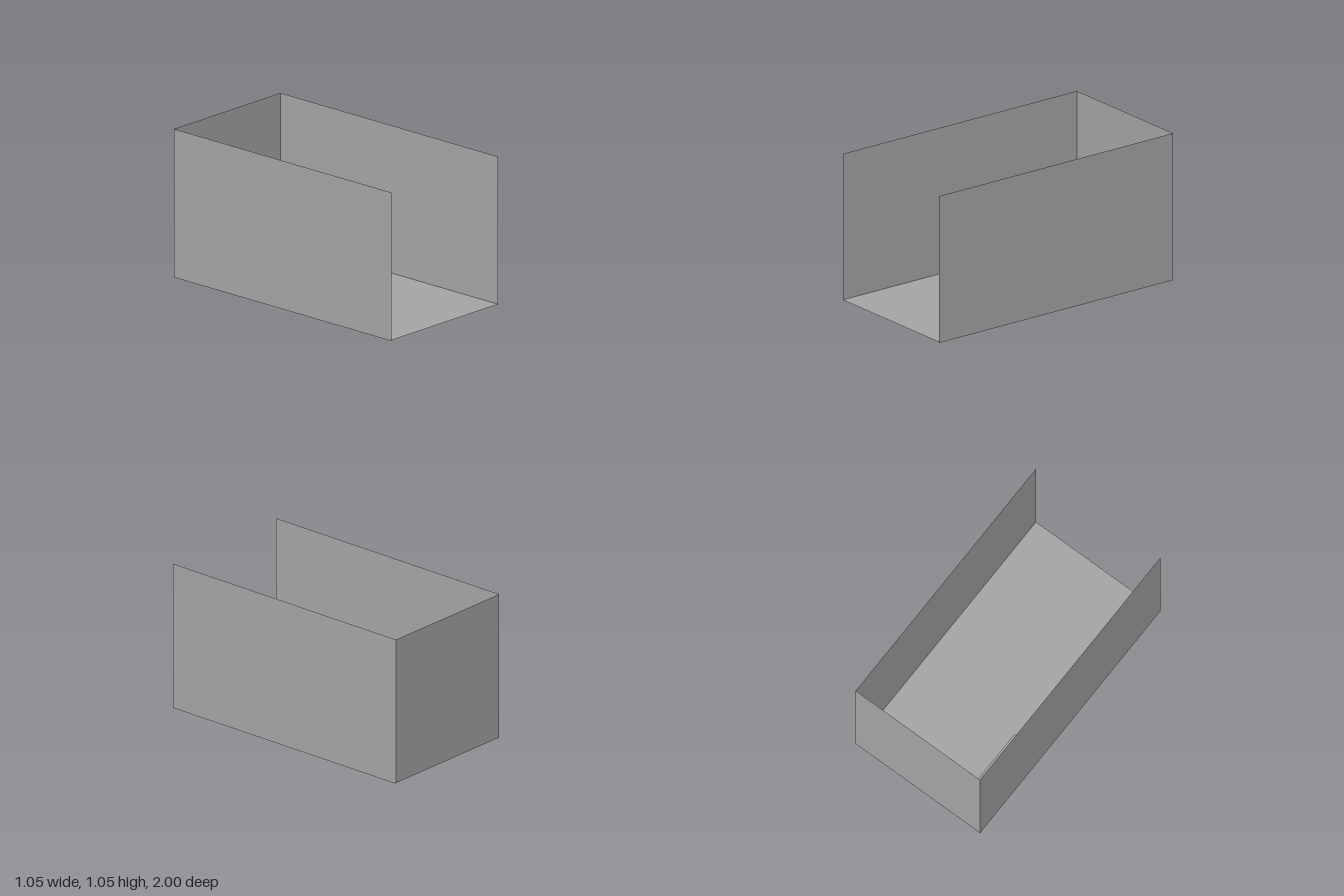
import * as THREE from 'three';

export function createModel() {
  const model = new THREE.Group();
  model.name = 'room';
  const grey = new THREE.MeshStandardMaterial({ color: 0xa6a6a6 });
  grey.name = 'plain grey';
  grey.side = THREE.DoubleSide;

  const W = 0.526, H = 1.052, D = 1, floorY = 0.006;

  const add = (parent, name, geometry, x, y, z) => {
    const mesh = new THREE.Mesh(geometry, grey);
    mesh.name = name;
    mesh.position.set(x, y, z);
    parent.add(mesh);
    return mesh;
  };

  // Room shell: thin sheets, open at the front and the top
  add(model, 'floor', new THREE.PlaneGeometry(2 * W, 2 * D).rotateX(-Math.PI / 2), 0, floorY, 0);
  add(model, 'backWall', new THREE.PlaneGeometry(2 * W, H - floorY), 0, (H + floorY) / 2, -D);
  for (const [name, side] of [['leftWall', 1], ['rightWall', -1]]) {
    add(model, name, new THREE.PlaneGeometry(2 * D, H).rotateY(side * Math.PI / 2), side * W, H / 2, 0);
  }

  // L-shaped counter in the back right corner
  const counter = new THREE.Group();
  counter.name = 'counter';
  model.add(counter);
  const x0 = -0.517, x1 = 0.087, xIn = -0.35;
  const z0 = -0.99, z1 = -0.388, zIn = -0.826;
  const base = 0.017, top = 0.318, t = 0.022;

  // Worktop outline, drawn with shape y = -z so it lies flat after turning
  const outline = new THREE.Shape(
    [[x0, z0], [x0, z1], [xIn, z1], [xIn, zIn], [x1, zIn], [x1, z0]]
      .map(([x, z]) => new THREE.Vector2(x, -z)));
  const slab = new THREE.ExtrudeGeometry(outline, { depth: t, bevelEnabled: false }).rotateX(-Math.PI / 2);
  add(counter, 'worktop', slab, 0, top - t, 0);

  // Supporting end panels of the two arms
  const h = top - t - base, y = base + h / 2;
  add(counter, 'frontEndPanel', new THREE.BoxGeometry(xIn - x0, h, t), (x0 + xIn) / 2, y, z1 - t / 2);
  add(counter, 'sideEndPanel', new THREE.BoxGeometry(t, h, zIn - z0), x1 - t / 2, y, (z0 + zIn) / 2);

  return model;
}
